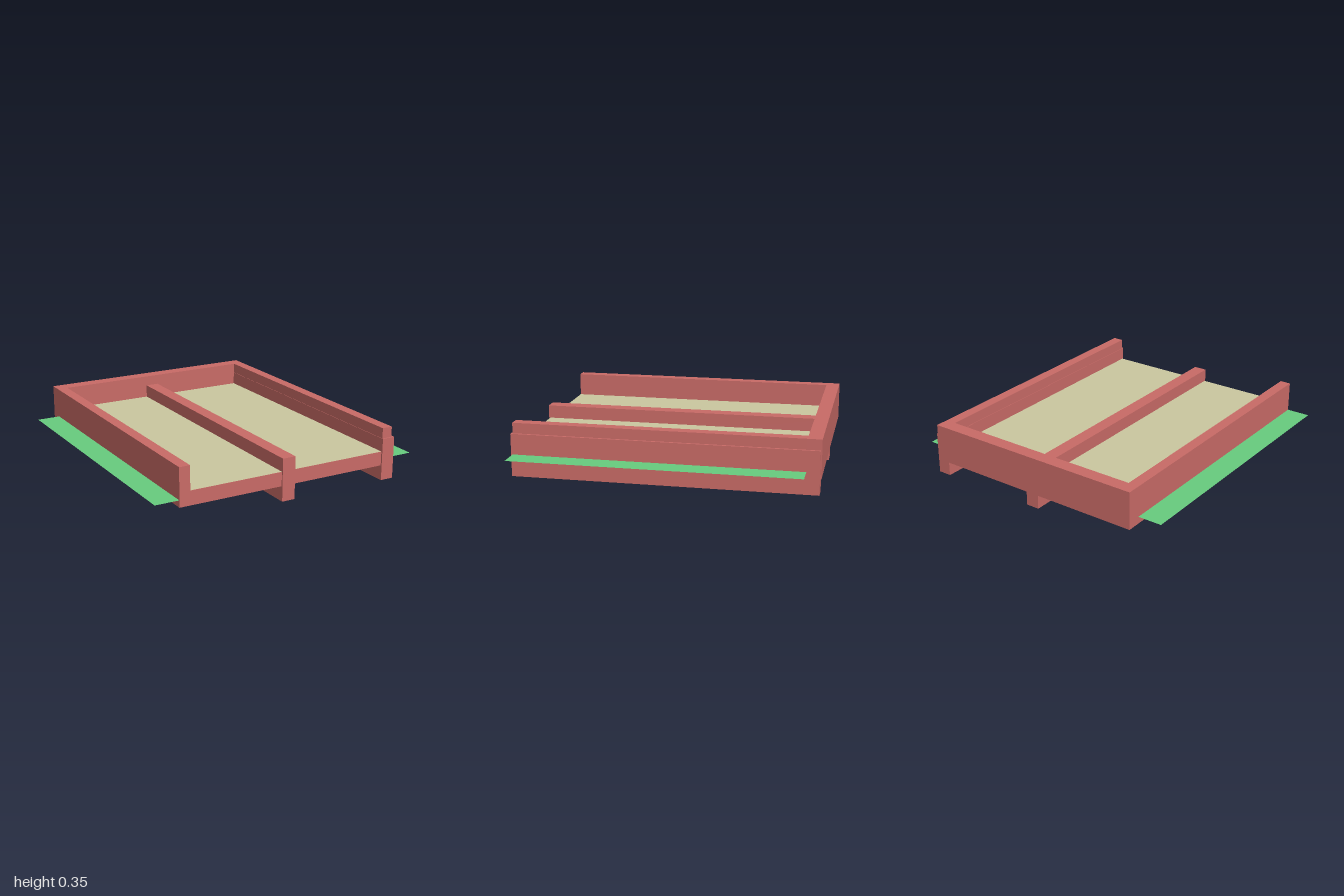
import * as THREE from 'three';

const red = new THREE.MeshStandardMaterial({ color: 0xc96b67 });
const khaki = new THREE.MeshStandardMaterial({ color: 0xcbc8a0, side: THREE.DoubleSide });
const green = new THREE.MeshStandardMaterial({ color: 0x68cc7e, side: THREE.DoubleSide });

// Box given by its extents on each axis
function block(name, [x0, x1], [y0, y1], [z0, z1]) {
  const mesh = new THREE.Mesh(new THREE.BoxGeometry(x1 - x0, y1 - y0, z1 - z0), red);
  mesh.position.set((x0 + x1) / 2, (y0 + y1) / 2, (z0 + z1) / 2);
  mesh.name = name;
  return mesh;
}

// Flat horizontal sheet facing up
function sheet(name, [x0, x1], y, [z0, z1], material) {
  const mesh = new THREE.Mesh(new THREE.PlaneGeometry(x1 - x0, z1 - z0).rotateX(-Math.PI / 2), material);
  mesh.position.set((x0 + x1) / 2, y, (z0 + z1) / 2);
  mesh.name = name;
  return mesh;
}

export function createModel() {
  const model = new THREE.Group();
  model.name = 'tray';
  const left = -0.785, right = 0.78, wall = 0.073;
  const height = [0.1, 0.355], length = [-0.908, 0.99];

  // Tray: base slab with walls on three sides, open at the front
  model.add(
    block('base', [left + wall, right - wall], [0.1, 0.195], length),
    block('rightWall', [left, left + wall], height, length),
    block('leftWall', [right - wall, right], height, length),
    block('backWall', [left, right], height, [-1, -0.908]),
  );

  // Floor covering and the wide sheet that sticks out at both sides
  model.add(
    sheet('floor', [left + wall, right - wall], 0.196, length, khaki),
    sheet('sideFlaps', [-0.948, 0.943], 0.147, length, green),
  );

  // Two long runners, one in the middle and one at the side
  const runners = { middleRunner: -0.022, sideRunner: 0.75 };
  for (const [name, x] of Object.entries(runners)) {
    model.add(block(name, [x - 0.046, x + 0.046], [0, 0.285], [-0.992, 1]));
  }
  return model;
}
